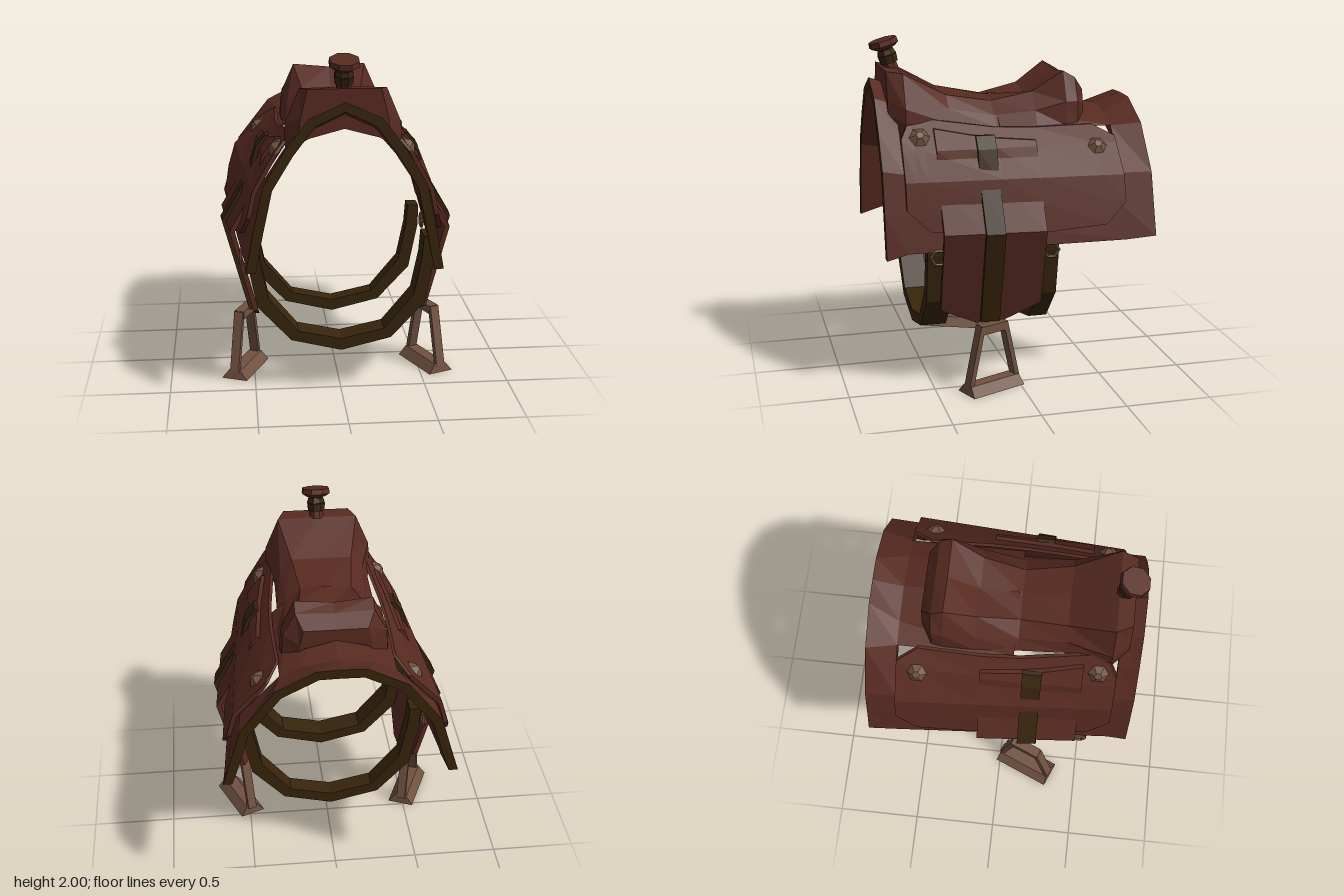
import * as THREE from 'three';

const leather = new THREE.MeshStandardMaterial({ color: 0x572a20 });
leather.name = 'leather';
const strapLeather = new THREE.MeshStandardMaterial({ color: 0x37240c });
strapLeather.name = 'darkStrap';
const metal = new THREE.MeshStandardMaterial({ color: 0x705140 });
metal.name = 'fittings';

const V = (x, y, z) => new THREE.Vector3(x, y, z);

// Faceted mesh
function part(name, geo, mat) {
  const flat = geo.index ? geo.toNonIndexed() : geo;
  flat.computeVertexNormals();
  const mesh = new THREE.Mesh(flat, mat);
  mesh.name = name;
  return mesh;
}

// Solid sheet from columns of points (columns run backwards, rows run over to +x);
// inner is a thickness, or a rule giving the matching point on the underside;
// ends are the materials of the front edge, back edge and side edges
function slab(name, cols, inner, face, ends = [face, face, face]) {
  const C = cols.length - 1, R = cols[0].length - 1;
  const under = cols.map(col => col.map((p, r) => {
    if (typeof inner === 'function') return inner(p);
    const a = col[Math.max(r - 1, 0)], b = col[Math.min(r + 1, R)];
    const n = V(a.y - b.y, b.x - a.x, 0).normalize();
    const q = p.clone().addScaledVector(n, -inner);
    if (r === 0 || r === R) q.y = p.y;
    return q;
  }));
  const pos = [], quad = (a, b, c, d) => [a, b, c, a, c, d].forEach(p => pos.push(p.x, p.y, p.z));
  const geo = new THREE.BufferGeometry();
  let start = 0;
  const endGroup = i => {
    geo.addGroup(start, pos.length / 3 - start, i);
    start = pos.length / 3;
  };
  for (let c = 0; c < C; c++) for (let r = 0; r < R; r++) {
    quad(cols[c][r], cols[c][r + 1], cols[c + 1][r + 1], cols[c + 1][r]);
    quad(under[c][r], under[c + 1][r], under[c + 1][r + 1], under[c][r + 1]);
  }
  endGroup(0);
  for (let r = 0; r < R; r++) quad(cols[0][r], under[0][r], under[0][r + 1], cols[0][r + 1]);
  endGroup(1);
  for (let r = 0; r < R; r++) quad(cols[C][r], cols[C][r + 1], under[C][r + 1], under[C][r]);
  endGroup(2);
  for (let c = 0; c < C; c++) {
    quad(cols[c][0], cols[c + 1][0], under[c + 1][0], under[c][0]);
    quad(cols[c][R], under[c][R], under[c + 1][R], cols[c + 1][R]);
  }
  endGroup(3);
  geo.setAttribute('position', new THREE.Float32BufferAttribute(pos, 3));
  return part(name, geo, [face, ...ends]);
}

// Mirror a sheet's columns to the -x side, keeping the row direction
const flip = (cols, s) => s > 0 ? cols : cols.map(c => c.map(p => V(-p.x, p.y, p.z)).reverse());

// Half cross-sections of the skirt, from the ridge down
const sections = [
  [.77, [[0, 1.76], [.2, 1.67], [.33, 1.5], [.45, 1.3], [.505, 1.05], [.55, .81]]],
  [.65, [[0, 1.72], [.2, 1.63], [.33, 1.48], [.46, 1.28], [.51, 1.05], [.555, .845]]],
  [-.6, [[0, 1.56], [.2, 1.53], [.325, 1.475], [.55, 1.24], [.605, 1.05], [.65, .87]]],
  [-.775, [[0, 1.61], [.14, 1.605], [.365, 1.49], [.56, 1.24], [.615, 1.05], [.665, .885]]],
];
const half = i => sections[i][1].map(([x, y]) => V(x, y, sections[i][0]));
const arch = pts => [...pts.slice(1).reverse().map(p => V(-p.x, p.y, p.z)), ...pts];

// Side surface: x at a given height and depth
function sideX(y, z) {
  const t = (.65 - z) / 1.25;
  const pts = half(1).map((p, i) => p.lerp(half(2)[i], t));
  let i = 1;
  while (i < pts.length - 1 && pts[i].y > y) i++;
  const a = pts[i - 1], b = pts[i];
  return a.x + (b.x - a.x) * (a.y - y) / (a.y - b.y);
}

// Fender surface, dipping under the side panel at mid height
function fenderX(y, z) {
  const knots = [[1.6, .06], [1.4, .06], [1.24, -.005], [.96, .09]];
  if (y < .96) return sideX(.96, z) + .09 - (.96 - y) * .27;
  const i = knots.findIndex(k => k[0] <= y);
  const [ya, oa] = knots[i - 1], [yb, ob] = knots[i];
  return sideX(y, z) + oa + (ob - oa) * (ya - y) / (ya - yb);
}

// Bar between two points
function bar(name, a, b, w, d, yaw) {
  const dir = b.clone().sub(a);
  const mesh = part(name, new THREE.BoxGeometry(w, dir.length(), d).rotateY(yaw), metal);
  mesh.quaternion.setFromUnitVectors(V(0, 1, 0), dir.normalize());
  mesh.position.copy(a).add(b).multiplyScalar(.5);
  return mesh;
}

export function createModel() {
  const model = new THREE.Group();
  model.name = 'saddle';

  // Skirt: front and back arches with dark rims, and a centre strip
  model.add(slab('frontSkirtArch', [arch(half(0)), arch(half(1))], .055, leather,
    [strapLeather, leather, strapLeather]));
  model.add(slab('backSkirtArch', [arch(half(2)), arch(half(3))], .055, leather,
    [leather, strapLeather, strapLeather]));
  const middle = half(1).map((p, i) => p.lerp(half(2)[i], .47));
  model.add(slab('skirtCentre', [arch(middle.slice(0, 3)), arch(half(2).slice(0, 3))], .015, leather));

  // Seat: z, then base, middle and top half-widths with heights, then centre height
  const seat = [
    [.70, .25, 1.58, .24, 1.66, .20, 1.82, 1.82],
    [.61, .325, 1.54, .32, 1.62, .24, 1.81, 1.815],
    [.35, .285, 1.52, .25, 1.6, .18, 1.67, 1.67],
    [.08, .29, 1.49, .24, 1.55, .15, 1.62, 1.635],
    [-.16, .31, 1.49, .27, 1.57, .18, 1.67, 1.64],
    [-.34, .31, 1.48, .295, 1.62, .22, 1.79, 1.77],
    [-.41, .30, 1.48, .29, 1.62, .22, 1.75, 1.74],
    [-.47, .20, 1.5, .2, 1.58, .18, 1.67, 1.67],
  ].map(([z, wb, yb, wm, ym, wt, yt, yc]) =>
    arch([V(0, yc, z), V(wt, yt, z), V(wm, ym, z), V(wb, yb, z)]));
  const seatUnder = p => V(p.x * .97, Math.min(p.y - .02, 1.6 - 1.3 * p.x * p.x), p.z);
  model.add(slab('seat', seat, seatUnder, leather));

  // Horn, leaning forwards
  const horn = new THREE.Group();
  horn.name = 'horn';
  const disc = (name, rt, rb, h, y, mat) => {
    const m = part(name, new THREE.CylinderGeometry(rt, rb, h, 8).rotateY(Math.PI / 8), mat);
    m.position.y = y;
    horn.add(m);
  };
  disc('hornNeck', .035, .045, .15, .055, leather);
  disc('hornWrapLower', .057, .053, .045, .047, strapLeather);
  disc('hornWrapUpper', .047, .057, .03, .088, strapLeather);
  disc('hornCapBase', .09, .06, .02, .122, leather);
  disc('hornCap', .085, .09, .03, .147, leather);
  horn.position.set(0, 1.82, .64);
  horn.rotation.x = .28;
  model.add(horn);

  // Girth straps: U-shaped bands
  const outer = [[.54, .93], [.54, .81], [.485, .53], [.29, .32], [0, .25]];
  const inner = [[.475, .93], [.465, .8], [.42, .58], [.25, .375], [0, .32]];
  const U = pts => [...pts, ...pts.slice(0, -1).reverse().map(([x, y]) => [-x, y])];
  const girth = new THREE.Shape([...U(outer), ...U(inner).reverse()].map(p => new THREE.Vector2(...p)));
  for (const [name, z, w] of [['frontGirth', .39, .15], ['rearGirth', -.23, .11]]) {
    const geo = new THREE.ExtrudeGeometry(girth, { depth: w, bevelEnabled: false });
    model.add(part(name, geo.translate(0, 0, z), strapLeather));
  }

  for (const s of [1, -1]) {
    const side = new THREE.Group();
    side.name = s > 0 ? 'leftSide' : 'rightSide';
    model.add(side);

    // Lower skirt
    side.add(slab('lowerSkirt', flip([half(1).slice(3), half(2).slice(3)], s), .05, leather,
      [leather, leather, strapLeather]));

    // Side panel with clipped corners: z, top, bottom
    const panel = [[.65, 1.46, 1.09], [.58, 1.57, 1.02], [.52, 1.56, .97], [.1, 1.5, .95],
      [-.12, 1.49, .94], [-.48, 1.49, .97], [-.6, 1.43, 1.09]].map(([z, top, low]) =>
      [top, 1.4, 1.24, 1.1, low].map(y => V(sideX(y, z) + .038, y, z)));
    side.add(slab('sidePanel', flip(panel, s), .025, leather));

    // Fender and the stirrup strap lying on it
    const fender = [[.46, 1.51, .48], [.25, 1.47, .385], [.11, 1.45, .385], [-.12, 1.43, .5]].map(([z, top, low]) =>
      [top, 1.4, 1.24, .96, low].map(y => V(fenderX(y, z), y, z)));
    side.add(slab('fender', flip(fender, s), .03, leather));
    const strap = [.23, .12].map(z => [1.47, 1.4, 1.24, .96, .4].map(y => V(fenderX(y, z) + .025, y, z)));
    side.add(slab('stirrupStrap', flip(strap, s), .03, strapLeather));

    // Round studs on the side panel
    for (const [y, z] of [[1.47, .545], [1.385, -.48]]) {
      const stud = part('stud', new THREE.CylinderGeometry(.022, .06, .03, 6), metal);
      const slope = (sideX(y - .04, z) - sideX(y + .04, z)) / .08;
      const n = V(s, slope, 0).normalize();
      stud.quaternion.setFromUnitVectors(V(0, 1, 0), n);
      stud.position.set(s * (sideX(y, z) + .038), y, z).addScaledVector(n, .012);
      side.add(stud);
    }

    // Girth buckles
    for (const z of [.48, -.175]) {
      const ring = part('girthBuckle', new THREE.TorusGeometry(.045, .01, 4, 6), metal);
      ring.rotation.y = Math.PI / 2;
      ring.position.set(s * .57, .815, z);
      side.add(ring);
    }

    // Stirrup: flat trapezoid frame, turned outwards at the front
    const yaw = s * .4;
    for (const e of [1, -1]) {
      const at = (y, r) => V(s * (.555 + e * r * Math.sin(.4)), y, .172 + e * r * Math.cos(.4));
      side.add(bar('stirrupLeg', at(.04, .165), at(.395, .08), .055, .03, yaw));
    }
    const beam = part('stirrupBar', new THREE.BoxGeometry(.06, .05, .17).rotateY(yaw), metal);
    beam.position.set(s * .555, .373, .172);
    side.add(beam);
    const treadGeo = new THREE.BoxGeometry(.16, .055, .36);
    const tp = treadGeo.attributes.position;
    for (let i = 0; i < tp.count; i++) {
      if (tp.getY(i) > 0) tp.setXYZ(i, tp.getX(i) * .45, tp.getY(i), tp.getZ(i) * .95);
    }
    const tread = part('stirrupTread', treadGeo.rotateY(yaw), metal);
    tread.position.set(s * .555, .0275, .175);
    side.add(tread);
  }
  return model;
}
